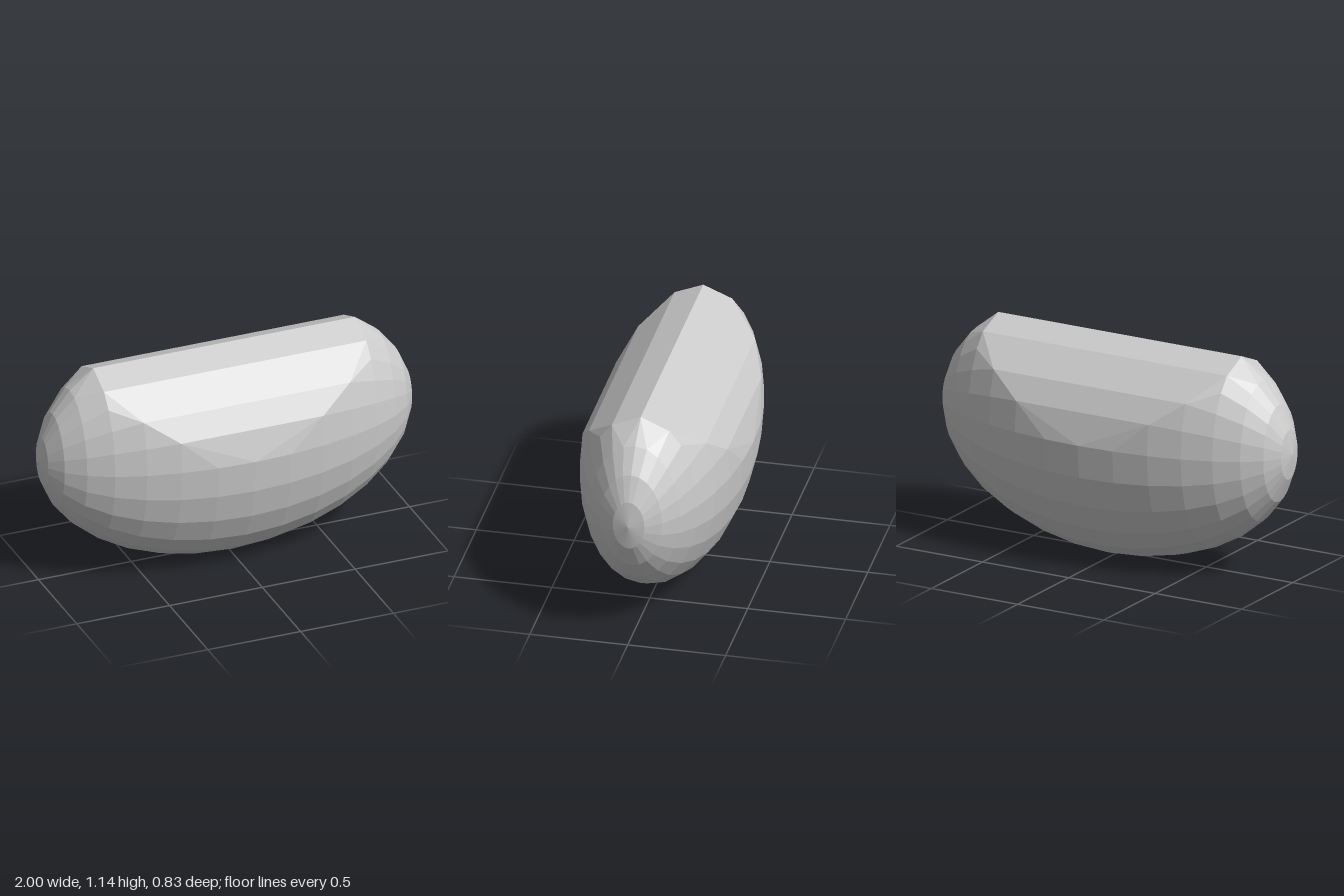
import * as THREE from 'three';
import { ConvexGeometry } from 'three/addons/geometries/ConvexGeometry.js';

const RADII = new THREE.Vector3(1, 0.667, 0.415);
const CENTRE_Y = 0.67;
const RINGS = 16, SIDES = 24;

// Flattened egg-shaped body whose upper middle is pared away to a straight ridge
function bodyPoints() {
  const points = [];
  for (let i = 0; i <= RINGS; i++) {
    const a = (i / RINGS) * Math.PI;
    const count = i === 0 || i === RINGS ? 1 : SIDES;
    for (let j = 0; j < count; j++) {
      const b = (j / SIDES) * Math.PI * 2;
      const x = RADII.x * Math.cos(a);
      const y = CENTRE_Y + RADII.y * Math.sin(a) * Math.cos(b);
      const z = RADII.z * Math.sin(a) * Math.sin(b);
      // the rim of the pared area rises towards both ends
      if (y <= 0.81 + 0.54 * x * x) points.push(new THREE.Vector3(x, y, z));
    }
  }
  // ends of the top ridge
  for (const s of [-1, 1]) points.push(new THREE.Vector3(s * 0.705, 1.14, 0));
  return points;
}

export function createModel() {
  const group = new THREE.Group();
  group.name = 'ridgedPebble';
  const material = new THREE.MeshStandardMaterial({ color: 0xcccccc, flatShading: true });
  const body = new THREE.Mesh(new ConvexGeometry(bodyPoints()), material);
  body.name = 'body';
  group.add(body);
  return group;
}
